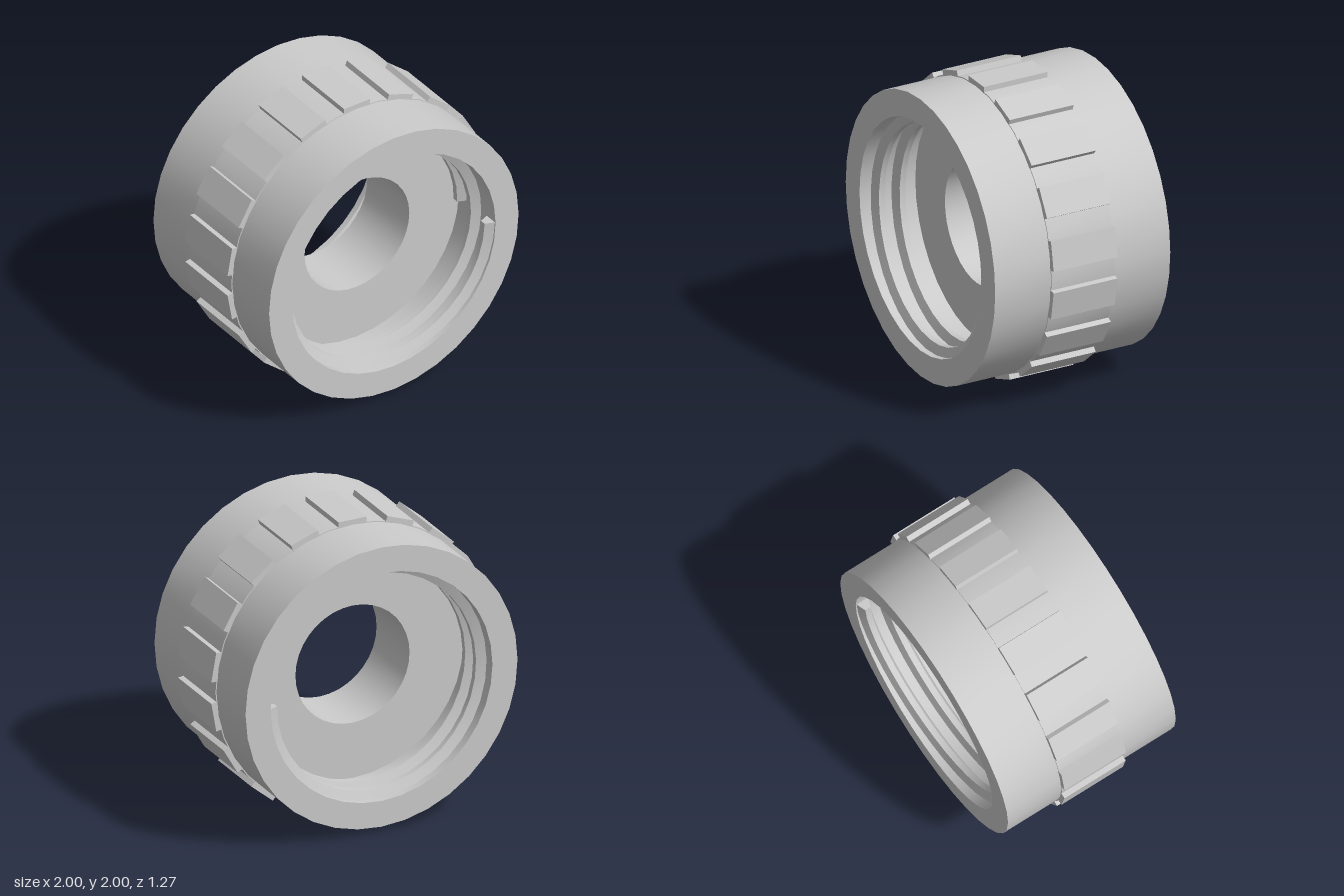
import * as THREE from 'three';
import { toCreasedNormals } from 'three/addons/utils/BufferGeometryUtils.js';

const HALF = 0.635;     // half length along z
const WEB = 0.23;       // half thickness of the inner partition and grip band
const SOCKET_R = 0.787;

// Helical ridge inside one socket; side is +1 for front, -1 for back
function threadGeometry(side) {
  const section = [[0.8, 0], [0.725, -0.03], [0.725, -0.07], [0.8, -0.1]];
  const turns = 2, pitch = 0.15, steps = 36 * turns;
  const pos = [], idx = [];
  const tri = (a, b, c) => (side > 0 ? idx.push(a, b, c) : idx.push(a, c, b));
  for (let i = 0; i <= steps; i++) {
    const t = (i / steps) * turns;
    const a = -t * Math.PI * 2;
    for (const [r, z] of section) {
      pos.push(r * Math.cos(a), r * Math.sin(a), side * (HALF - 0.002 + z - t * pitch));
    }
  }
  for (let i = 0; i < steps; i++) {
    for (let j = 0; j < 3; j++) {
      const p = i * 4 + j;
      tri(p, p + 1, p + 4);
      tri(p + 1, p + 5, p + 4);
    }
  }
  // end caps
  const e = steps * 4;
  tri(0, 2, 1);
  tri(0, 3, 2);
  tri(e, e + 1, e + 2);
  tri(e, e + 2, e + 3);
  const geo = new THREE.BufferGeometry();
  geo.setAttribute('position', new THREE.Float32BufferAttribute(pos, 3));
  geo.setIndex(idx);
  return toCreasedNormals(geo, 0.45);
}

export function createModel() {
  const group = new THREE.Group();
  const material = new THREE.MeshStandardMaterial({ color: 0xcccccc });
  const add = (name, geometry, parent) => {
    const mesh = new THREE.Mesh(geometry, material);
    mesh.name = name;
    parent.add(mesh);
    return mesh;
  };

  const coupling = new THREE.Group();
  coupling.name = 'coupling';
  coupling.position.y = 1;
  group.add(coupling);

  // Body: outer wall with a shallow band, a socket at each end and a central bore
  const profile = [
    [0.405, -WEB], [SOCKET_R, -WEB], [SOCKET_R, -HALF], [0.965, -HALF],
    [0.965, -WEB], [0.972, -WEB], [0.972, WEB], [0.965, WEB],
    [0.965, HALF], [SOCKET_R, HALF], [SOCKET_R, WEB], [0.405, WEB], [0.405, -WEB],
  ].map(([r, z]) => new THREE.Vector2(r, z));
  const body = new THREE.LatheGeometry(profile, 36);
  body.rotateX(Math.PI / 2);
  add('body', toCreasedNormals(body, 0.45), coupling);

  // Internal threads, mirrored front to back
  add('frontThread', threadGeometry(1), coupling);
  add('backThread', threadGeometry(-1), coupling);

  // Grip pads around the middle
  const grip = new THREE.Group();
  grip.name = 'gripPads';
  coupling.add(grip);
  const padGeometry = new THREE.BoxGeometry(0.2, 0.07, WEB * 2 + 0.004);
  padGeometry.translate(0, 0.965, 0);
  const pads = 18;
  for (let i = 0; i < pads; i++) {
    add('gripPad', padGeometry, grip).rotation.z = (i / pads) * Math.PI * 2;
  }
  return group;
}
